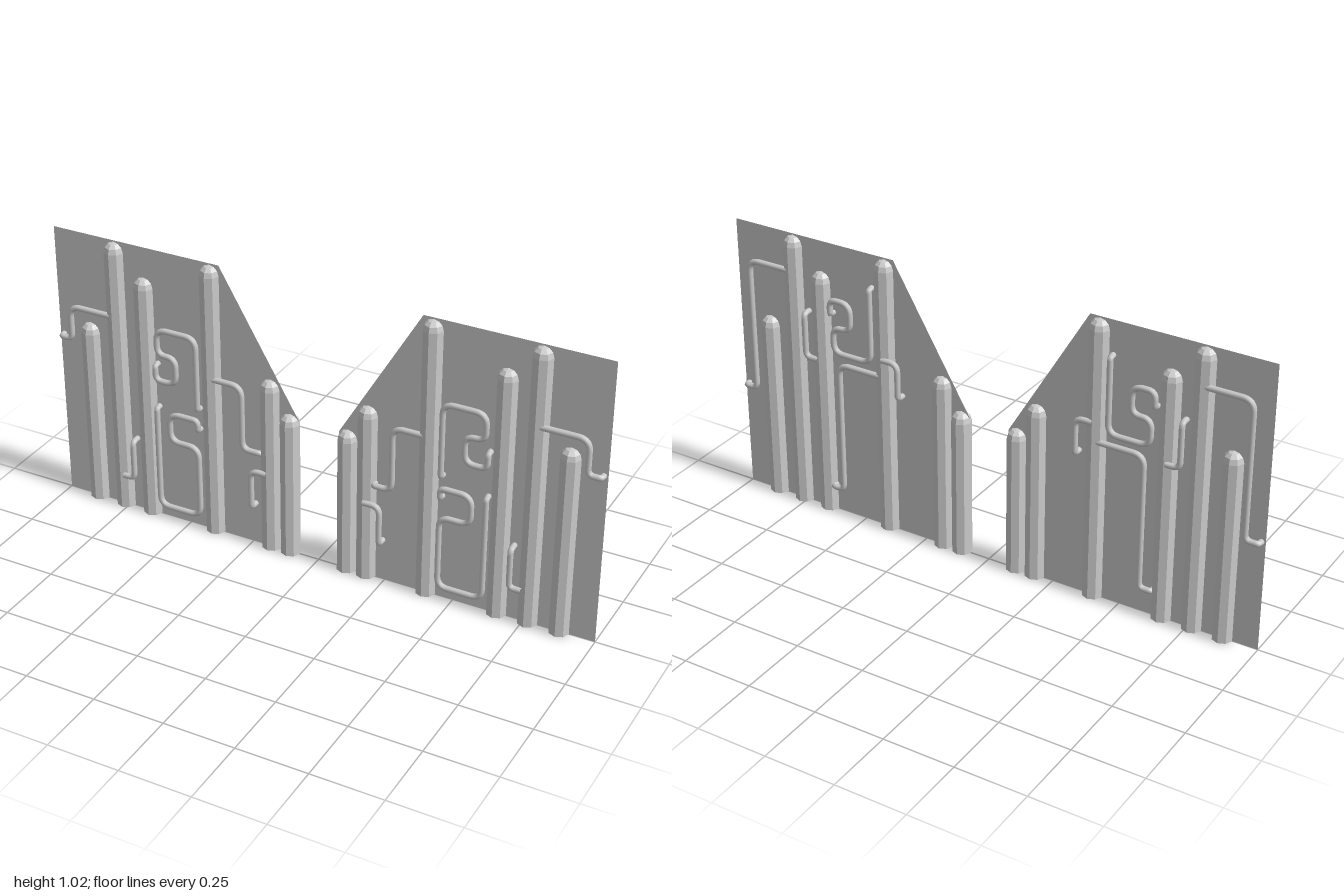
import * as THREE from 'three';

const flat = new THREE.MeshStandardMaterial({ color: 0xcccccc, flatShading: true });
const smooth = new THREE.MeshStandardMaterial({ color: 0xcccccc });
const thin = new THREE.MeshStandardMaterial({ color: 0xcccccc, side: THREE.DoubleSide });

// Post: [x, height]
const POSTS = [[0.107, 0.54], [0.18, 0.65], [0.4, 1.015], [0.655, 0.91], [0.765, 1.015], [0.875, 0.69]];

// Pipes: corner points [x, y] at depth z; "in" tells which ends turn into the panel
const swirl = [[0.45, 0.47], [0.45, 0.74], [0.6, 0.74], [0.6, 0.645], [0.53, 0.645], [0.53, 0.545], [0.61, 0.545], [0.61, 0.6]];
const PIPES = [
  { name: 'frontOuterPipe', z: 0.02, end: true, pts: [[0.77, 0.745], [0.94, 0.745], [0.94, 0.62], [0.985, 0.62]] },
  { name: 'frontInnerPipe', z: 0.02, end: true, pts: [[0.39, 0.605], [0.278, 0.605], [0.278, 0.368], [0.21, 0.368]] },
  { name: 'frontInnerHook', z: 0.032, end: true, pts: [[0.18, 0.3], [0.24, 0.3], [0.24, 0.155]] },
  { name: 'frontOuterHook', z: 0.032, start: true, pts: [[0.707, 0.28], [0.707, 0.135], [0.75, 0.135]] },
  { name: 'frontUpperSwirl', z: 0.02, start: true, end: true, pts: swirl },
  {
    name: 'frontLowerSwirl', z: 0.02, start: true, end: true,
    pts: [[0.61, 0.435], [0.61, 0.05], [0.45, 0.05], [0.45, 0.32], [0.56, 0.32], [0.56, 0.428], [0.45, 0.428], [0.45, 0.39]],
  },
  { name: 'backOuterPipe', z: -0.02, end: true, pts: [[0.77, 0.89], [0.938, 0.89], [0.938, 0.4], [0.985, 0.4]] },
  { name: 'backOuterHook', z: -0.03, start: true, pts: [[0.71, 0.75], [0.71, 0.59], [0.66, 0.59]] },
  { name: 'backInnerHook', z: -0.03, end: true, pts: [[0.4, 0.66], [0.338, 0.66], [0.338, 0.53]] },
  { name: 'backLongPipe', z: -0.02, end: true, pts: [[0.4, 0.59], [0.58, 0.59], [0.58, 0.1], [0.625, 0.1]] },
  { name: 'backSwirl', z: -0.02, start: true, end: true, pts: swirl.map(([x, y]) => [x, 1.37 - y]) },
];

function add(group, name, geometry, material) {
  const mesh = new THREE.Mesh(geometry, material);
  mesh.name = name;
  group.add(mesh);
  return mesh;
}

// Tube along straight runs with rounded corners
function pipeGeometry(points, radius, bend) {
  const path = new THREE.CurvePath();
  let from = points[0];
  for (let i = 1; i < points.length - 1; i++) {
    const [a, p, b] = [points[i - 1], points[i], points[i + 1]];
    const la = p.distanceTo(a), lb = p.distanceTo(b);
    const r = Math.min(bend, la * 0.48, lb * 0.48);
    const enter = p.clone().lerp(a, r / la);
    const leave = p.clone().lerp(b, r / lb);
    path.add(new THREE.LineCurve3(from, enter));
    path.add(new THREE.QuadraticBezierCurve3(enter, p, leave));
    from = leave;
  }
  path.add(new THREE.LineCurve3(from, points[points.length - 1]));
  const segments = Math.ceil(path.getLength() / 0.009);
  return new THREE.TubeGeometry(path, segments, radius, 8, false);
}

// Eight-sided post with a domed top and closed foot
function postGeometry(h) {
  const profile = [[0, 0], [0.035, 0], [0.035, h - 0.035], [0.03, h - 0.017], [0.018, h - 0.005], [0, h]];
  return new THREE.LatheGeometry(profile.map(([r, y]) => new THREE.Vector2(r, y)), 8);
}

// One half; s = 1 is the left (+x), s = -1 the right
function buildHalf(s) {
  const half = new THREE.Group();
  half.name = s > 0 ? 'leftHalf' : 'rightHalf';

  const outline = [[0.075, 0], [1, 0], [1, 1.02], [0.365, 1.02], [0.075, 0.525]];
  const shape = new THREE.Shape(outline.map(([x, y]) => new THREE.Vector2(s * x, y)));
  add(half, 'panel', new THREE.ShapeGeometry(shape), thin);

  for (const [x, h] of POSTS) add(half, 'post', postGeometry(h), flat).position.x = s * x;

  for (const { name, z, pts, start, end } of PIPES) {
    const path = pts.map(([x, y]) => new THREE.Vector3(s * x, y, z));
    if (start) path.unshift(path[0].clone().setZ(0));
    if (end) path.push(path[path.length - 1].clone().setZ(0));
    add(half, name, pipeGeometry(path, 0.0105, 0.04), smooth);
  }
  return half;
}

export function createModel() {
  const model = new THREE.Group();
  model.name = 'pipePanels';
  model.add(buildHalf(1), buildHalf(-1));
  return model;
}
